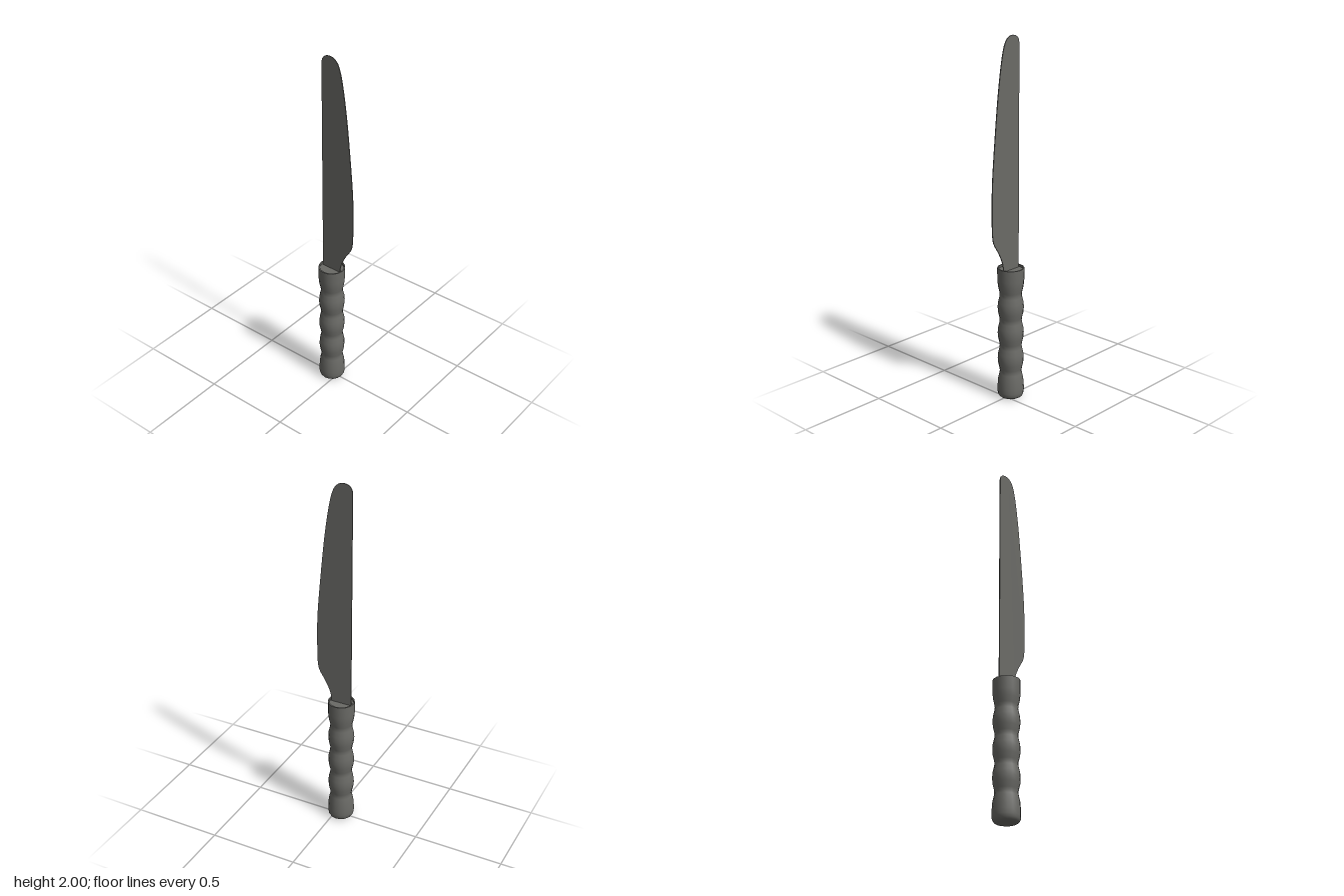
import * as THREE from 'three';

const SIDES = 16;
const AXIS_Z = -0.035;

export function createModel() {
  const model = new THREE.Group();
  model.name = 'tableKnife';
  const grey = new THREE.MeshStandardMaterial({ color: 0x6a6a66 });
  grey.name = 'dull grey';

  const handle = new THREE.Group();
  handle.name = 'handle';
  handle.position.z = AXIS_Z;
  model.add(handle);

  // Each turned piece is its own lathe so the edges between them stay sharp
  const turn = (name, points) => {
    const profile = points.map(([r, y]) => new THREE.Vector2(r, y));
    const mesh = new THREE.Mesh(new THREE.LatheGeometry(profile, SIDES), grey);
    mesh.name = name;
    handle.add(mesh);
  };

  // Grip: rounded butt, four finger grooves, straight collar
  const grip = [[0.054, 0], [0.064, 0.006], [0.071, 0.018], [0.073, 0.035], [0.073, 0.06]];
  for (let i = 0; i < 4; i++) {
    const y = 0.155 + i * 0.15;
    grip.push([0.069, y - 0.045], [0.062, y - 0.015], [0.06, y], [0.062, y + 0.015], [0.069, y + 0.045]);
    if (i < 3) grip.push([0.0715, y + 0.075]);
  }
  grip.push([0.073, 0.69], [0.073, 0.757]);
  turn('grip', grip);
  turn('butt', [[0, 0], [0.054, 0]]);

  // Thin rim around a shallow recessed top
  turn('rim', [[0.073, 0.757], [0.066, 0.757]]);
  turn('rimWall', [[0.066, 0.757], [0.066, 0.745]]);
  turn('handleTop', [[0.066, 0.745], [0, 0.745]]);

  // Blade outline: shape x is the model's z; straight spine, curved cutting edge
  const v = (z, y) => new THREE.Vector2(z, y);
  const outline = new THREE.Shape();
  outline.moveTo(-0.094, 0.74);
  outline.lineTo(0.022, 0.74);
  outline.lineTo(0.024, 0.765);
  outline.splineThru([v(0.034, 0.805), v(0.058, 0.856), v(0.094, 0.915), v(0.105, 0.96), v(0.108, 1.02)]);
  outline.lineTo(0.108, 1.17);
  outline.splineThru([v(0.102, 1.29), v(0.085, 1.48), v(0.063, 1.69), v(0.038, 1.86),
    v(0.016, 1.95), v(-0.008, 1.987), v(-0.04, 2), v(-0.07, 1.995), v(-0.088, 1.978), v(-0.094, 1.955)]);
  outline.closePath();

  const thickness = 0.005;
  const bladeGeometry = new THREE.ExtrudeGeometry(outline, {
    depth: thickness, bevelEnabled: false, curveSegments: 4,
  });
  bladeGeometry.translate(0, 0, -thickness / 2);
  bladeGeometry.rotateY(-Math.PI / 2);
  const blade = new THREE.Mesh(bladeGeometry, grey);
  blade.name = 'blade';
  model.add(blade);

  return model;
}
